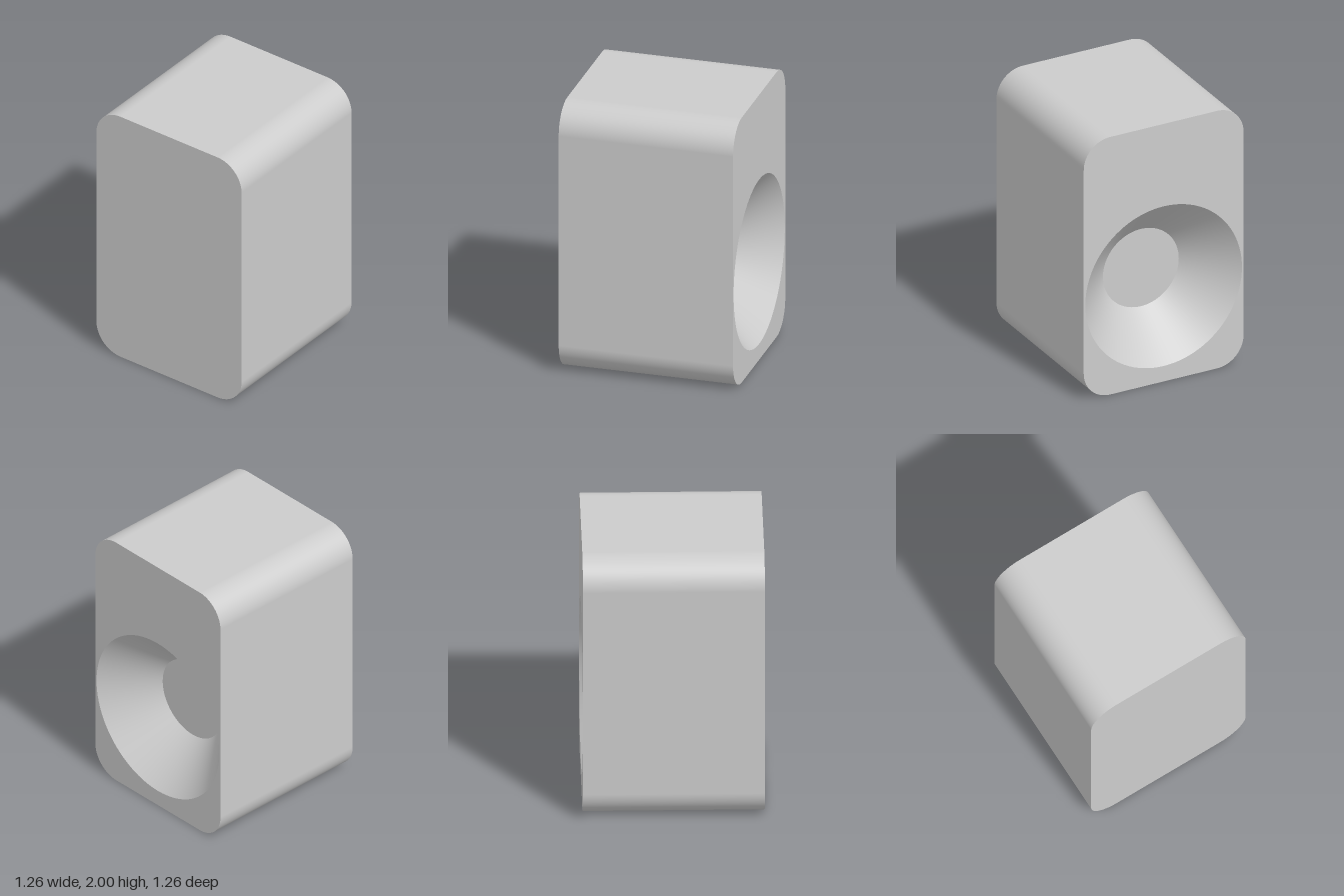
import * as THREE from 'three';

const W = 1.265, H = 2, D = 1.265, CORNER = 0.21;
const CONE = { y: 0.74, rim: 0.62, inner: 0.3, depth: 0.33, segments: 96 };

// Rounded rectangle standing on y = 0, drawn counter-clockwise
function outline() {
  const s = new THREE.Shape(), x = W / 2, r = CORNER;
  s.moveTo(-x + r, 0).lineTo(x - r, 0);
  s.absarc(x - r, r, r, -Math.PI / 2, 0);
  s.absarc(x - r, H - r, r, 0, Math.PI / 2);
  s.absarc(-x + r, H - r, r, Math.PI / 2, Math.PI);
  s.absarc(-x + r, r, r, Math.PI, Math.PI * 1.5);
  return s;
}

// Smooth band joining the front and back outlines
function wallGeometry() {
  const pts = outline().getPoints(16);
  if (pts[0].distanceTo(pts[pts.length - 1]) < 1e-5) pts.pop();
  const n = pts.length, pos = [], idx = [];
  pts.forEach((p, i) => {
    pos.push(p.x, p.y, -D / 2, p.x, p.y, D / 2);
    const a = 2 * i, b = 2 * ((i + 1) % n);
    idx.push(a, b, b + 1, a, b + 1, a + 1);
  });
  const g = new THREE.BufferGeometry();
  g.setAttribute('position', new THREE.Float32BufferAttribute(pos, 3));
  g.setIndex(idx);
  g.computeVertexNormals();
  return g;
}

export function createModel() {
  const group = new THREE.Group();
  group.name = 'speaker';
  const material = new THREE.MeshStandardMaterial({ color: 0xcccccc });
  const add = (name, geometry) => {
    const mesh = new THREE.Mesh(geometry, material);
    mesh.name = name;
    group.add(mesh);
  };

  // Cabinet
  add('cabinetWall', wallGeometry());
  add('frontPanel', new THREE.ShapeGeometry(outline(), 16).translate(0, 0, D / 2));

  // Back panel, cut open for the cone
  const back = outline();
  back.holes.push(new THREE.Path().absarc(0, CONE.y, CONE.rim, 0, Math.PI * 2, true));
  add('backPanel', new THREE.ShapeGeometry(back, CONE.segments / 2)
    .rotateY(Math.PI).translate(0, 0, -D / 2));

  // Recessed cone and its flat centre, opening towards the back
  const cone = [new THREE.Vector2(CONE.rim, 0), new THREE.Vector2(CONE.inner, -CONE.depth)];
  add('speakerCone', new THREE.LatheGeometry(cone, CONE.segments)
    .rotateX(-Math.PI / 2).translate(0, CONE.y, -D / 2));
  add('coneCentre', new THREE.CircleGeometry(CONE.inner, CONE.segments)
    .rotateY(Math.PI).translate(0, CONE.y, -D / 2 + CONE.depth));

  return group;
}
